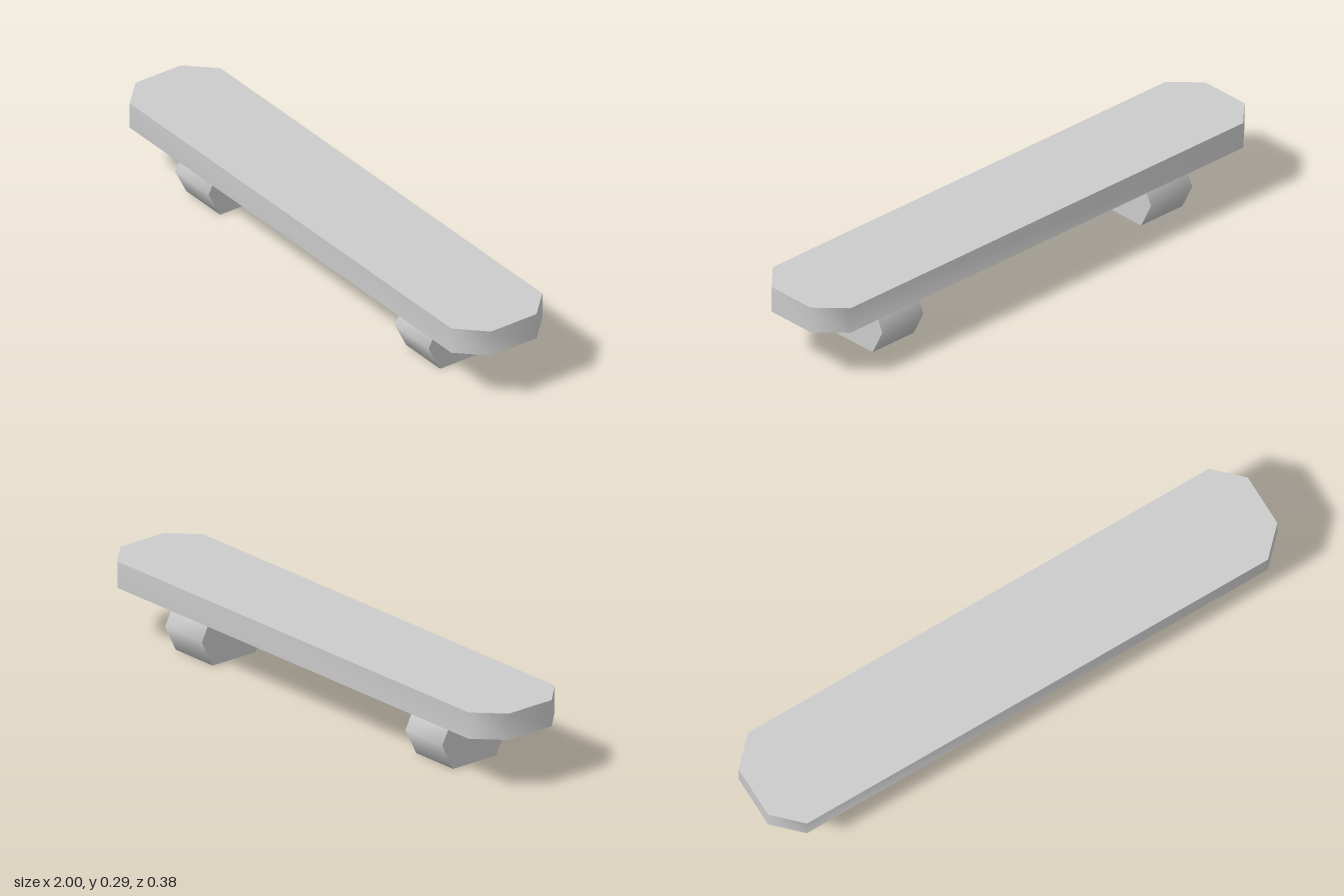
import * as THREE from 'three';
import { toCreasedNormals } from 'three/addons/utils/BufferGeometryUtils.js';

const material = new THREE.MeshStandardMaterial({ color: 0xcccccc });

// Prism with a smoothly shaded rim and sharp, flat caps, centred on its depth
function prism(outline, depth) {
  const shape = new THREE.Shape(outline.map(([x, y]) => new THREE.Vector2(x, y)));
  const geometry = new THREE.ExtrudeGeometry(shape, { depth, bevelEnabled: false });
  geometry.translate(0, 0, -depth / 2);
  return toCreasedNormals(geometry, THREE.MathUtils.degToRad(75));
}

function addPart(group, name, geometry, x, y) {
  const mesh = new THREE.Mesh(geometry, material);
  mesh.name = name;
  mesh.position.set(x, y, 0);
  group.add(mesh);
}

export function createModel() {
  const group = new THREE.Group();
  group.name = 'skateboard';

  // Deck: long board with cut corners
  const deck = prism([
    [1, -0.095], [1, 0.095], [0.905, 0.19], [-0.905, 0.19],
    [-1, 0.095], [-1, -0.095], [-0.905, -0.19], [0.905, -0.19],
  ], 0.095).rotateX(-Math.PI / 2);
  addPart(group, 'deck', deck, 0, 0.238);

  // Wheels: one wide hexagonal roller near each end
  const wheel = prism([
    [0.143, 0], [0.095, 0.095], [-0.095, 0.095],
    [-0.143, 0], [-0.095, -0.095], [0.095, -0.095],
  ], 0.19).rotateY(Math.PI / 2);
  addPart(group, 'leftWheel', wheel, 0.619, 0.095);
  addPart(group, 'rightWheel', wheel, -0.619, 0.095);

  return group;
}
